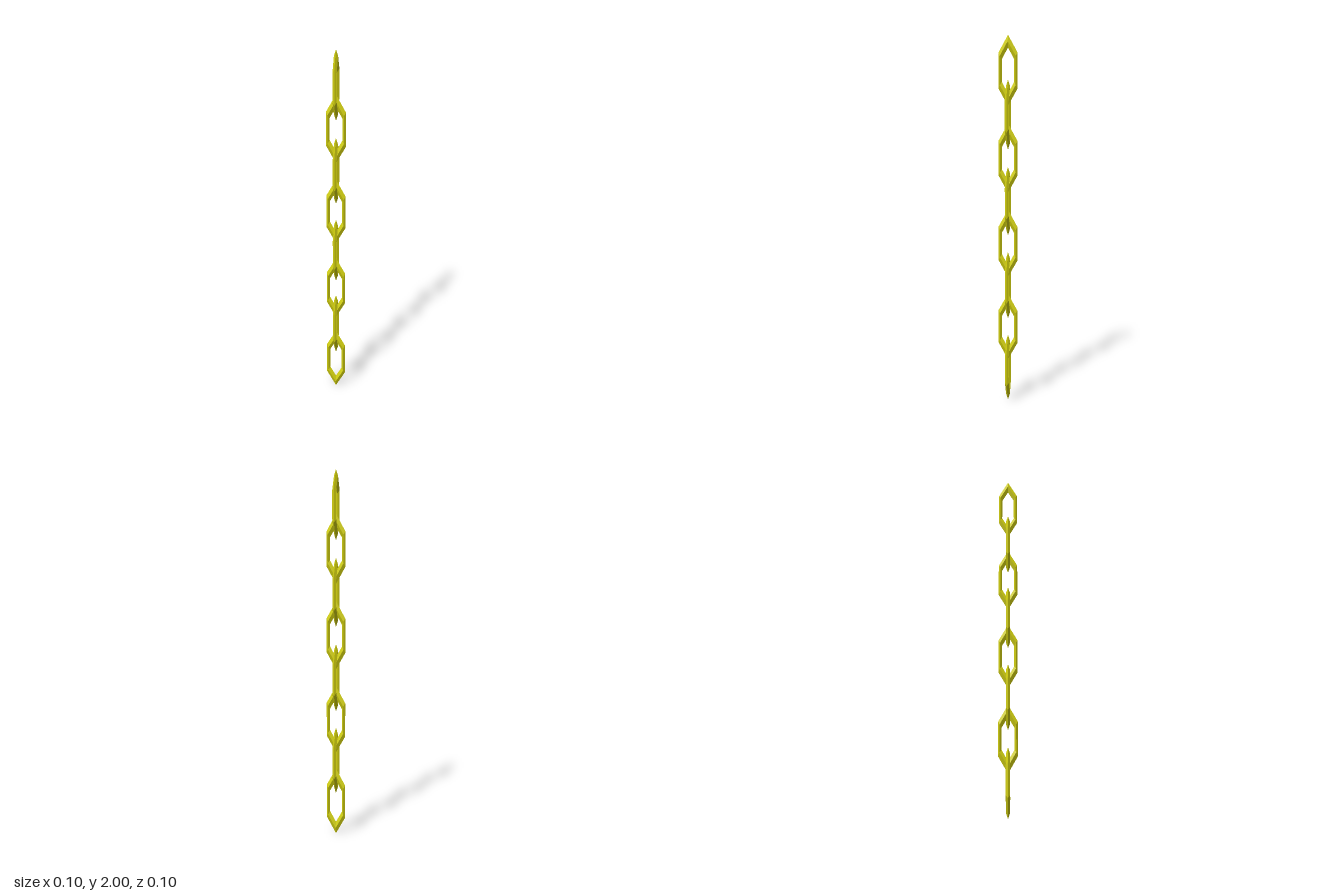
import * as THREE from 'three';

export function createModel() {
  const group = new THREE.Group();
  group.name = 'chain';

  const brass = new THREE.MeshStandardMaterial({ color: 0xd2d010, flatShading: true });
  brass.name = 'yellow brass';

  const count = 8;
  const halfLength = 0.186;
  const outer = 0.06; // corner radius of the hexagon before stretching
  const wire = 0.0108;

  // Hexagonal ring of diamond-section wire, a corner pointing up, stretched tall
  const linkGeometry = new THREE.TorusGeometry(outer - wire, wire, 4, 6);
  linkGeometry.rotateZ(Math.PI / 6);
  linkGeometry.scale(1, halfLength / outer, 1);

  // Interlocked links, each a quarter turn from the last
  const step = (2 - 2 * halfLength) / (count - 1);
  for (let i = 0; i < count; i++) {
    const link = new THREE.Mesh(linkGeometry, brass);
    link.name = `link${i + 1}`;
    link.position.y = halfLength + i * step;
    link.rotation.y = i % 2 ? Math.PI / 2 : 0;
    group.add(link);
  }
  return group;
}
